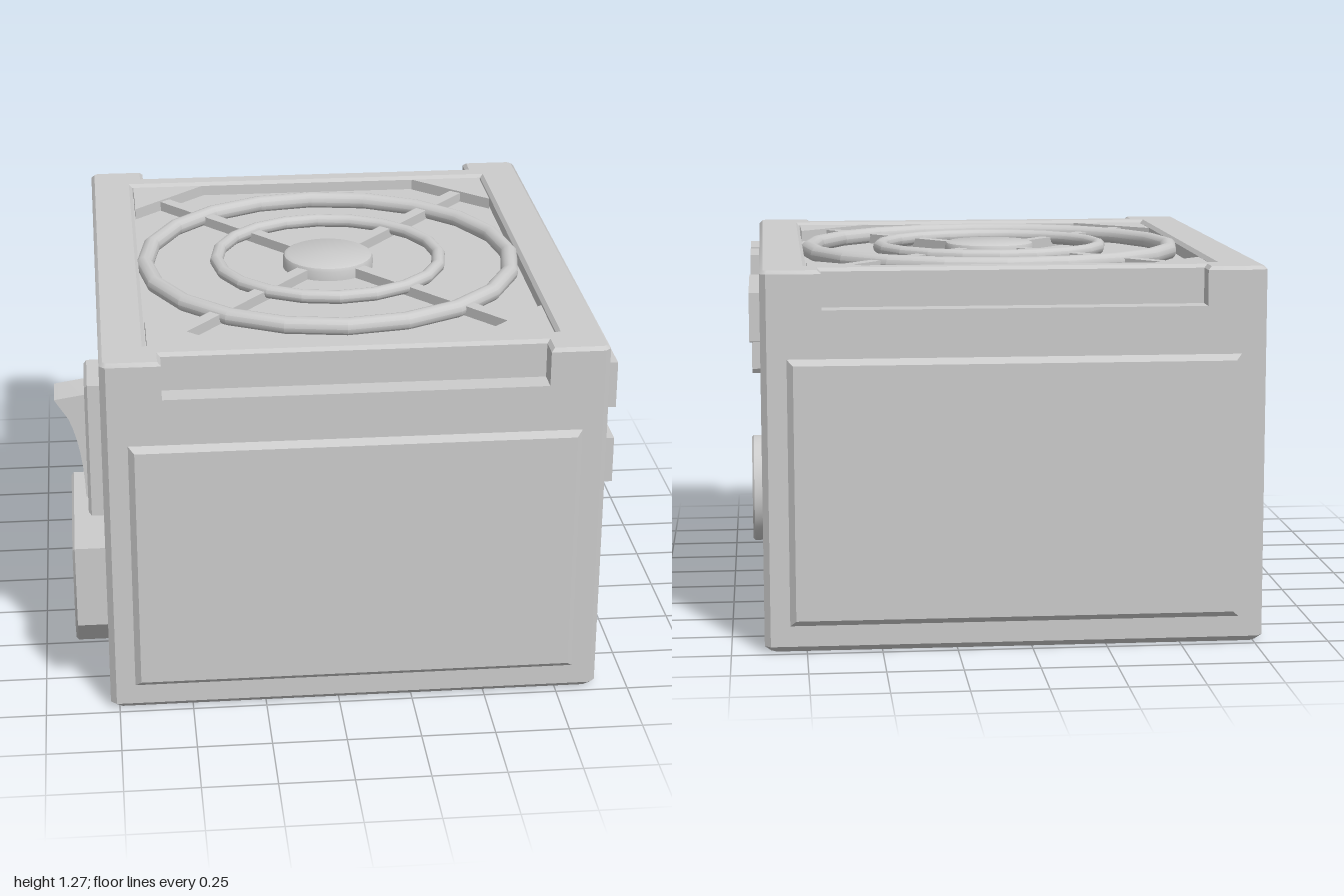
import * as THREE from 'three';
import { toCreasedNormals } from 'three/addons/utils/BufferGeometryUtils.js';

const CX = 0.055; // centre of the case in x
const HX = 0.835, HZ = 0.98;

const poly = (pts, Type = THREE.Shape) => new Type(pts.map(([x, y]) => new THREE.Vector2(x, y)));
const rect = (x0, y0, x1, y1) => [[x0, y0], [x1, y0], [x1, y1], [x0, y1]];

function extrude(outline, hole, depth, bevel = 0) {
  const shape = poly(outline);
  if (hole) shape.holes.push(poly(hole, THREE.Path));
  return new THREE.ExtrudeGeometry(shape, {
    depth, bevelEnabled: bevel > 0, bevelSize: bevel, bevelThickness: bevel, bevelOffset: -bevel, bevelSegments: 1,
  });
}

export function createModel() {
  const group = new THREE.Group();
  const material = new THREE.MeshStandardMaterial({ color: 0xcccccc });

  const add = (name, geometry, x = 0, y = 0, z = 0, parent = group) => {
    const mesh = new THREE.Mesh(toCreasedNormals(geometry, 0.55), material);
    mesh.name = name;
    mesh.position.set(x, y, z);
    parent.add(mesh);
    return mesh;
  };
  const box = (name, w, h, d, x, y, z, parent) => add(name, new THREE.BoxGeometry(w, h, d), x, y, z, parent);

  // Lower case: chamfered plan, bottom edge drawn in
  const c = 0.02;
  const plan = [[-HX + c, -HZ], [HX - c, -HZ], [HX, -HZ + c], [HX, HZ - c],
    [HX - c, HZ], [-HX + c, HZ], [-HX, HZ - c], [-HX, -HZ + c]];
  const lower = new THREE.ExtrudeGeometry(poly(plan), { depth: 1.14, steps: 2, bevelEnabled: false });
  const p = lower.attributes.position;
  for (let i = 0; i < p.count; i++) {
    const z = p.getZ(i);
    if (z < 0.01) p.setXY(i, p.getX(i) * (HX - c) / HX, p.getY(i) * (HZ - c) / HZ);
    else if (z < 1) p.setZ(i, c);
  }
  lower.rotateX(-Math.PI / 2);
  add('lowerCase', lower, CX);

  // Upper case: notched front and back, opening for the fan
  const nx = 0.635, nz = 0.9;
  const notched = [[-HX + c, -HZ], [-nx, -HZ], [-nx, -nz], [nx, -nz], [nx, -HZ], [HX - c, -HZ],
    [HX, -HZ + c], [HX, HZ - c], [HX - c, HZ], [nx, HZ], [nx, nz], [-nx, nz], [-nx, HZ],
    [-HX + c, HZ], [-HX, HZ - c], [-HX, -HZ + c]];
  const b = 0.012;
  const upper = extrude(notched, rect(-0.68, -0.82, 0.68, 0.82), 0.13 - b, b);
  upper.rotateX(-Math.PI / 2);
  add('upperCase', upper, CX, 1.14);
  box('fanRecessFloor', 1.38, 0.1, 1.66, CX, 1.17, 0);

  // Raised panels on front and back
  for (const s of [1, -1]) {
    const panel = new THREE.BoxGeometry(1.52, 0.91, 0.03);
    const v = panel.attributes.position;
    for (let i = 0; i < v.count; i++) {
      if (v.getZ(i) * s > 0) {
        v.setX(i, v.getX(i) * 1.46 / 1.52);
        v.setY(i, v.getY(i) * 0.85 / 0.91);
      }
    }
    add(s > 0 ? 'frontPanel' : 'backPanel', panel, CX, 0.535, s * 0.985);
  }

  // Fan grill: rings, hub, spokes and corner gussets
  const grill = new THREE.Group();
  grill.name = 'fanGrill';
  grill.position.set(CX, 0, 0);
  group.add(grill);
  for (const [name, r, t] of [['outerRing', 0.657, 0.031], ['innerRing', 0.4, 0.024]]) {
    add(name, new THREE.TorusGeometry(r, t, 12, 20).rotateX(Math.PI / 2), 0, 1.275 - t, 0, grill);
  }
  const hub = [[0, 1.21], [0.162, 1.21], [0.162, 1.252], [0.157, 1.264], [0.145, 1.27], [0, 1.27]];
  add('hub', new THREE.LatheGeometry(hub.map(([x, y]) => new THREE.Vector2(x, y)), 32), 0, 0, 0, grill);
  const angle = Math.atan2(0.83, 0.695);
  for (const sx of [1, -1]) {
    for (const sz of [1, -1]) {
      const spoke = box('spoke', 0.74, 0.045, 0.045,
        sx * Math.cos(angle) * 0.5, 1.2325, sz * Math.sin(angle) * 0.5, grill);
      spoke.rotation.y = -sx * sz * angle;
      const x = sx * 0.675, z = sz * 0.815;
      const gusset = extrude([[x, -z], [x - sx * 0.265, -z], [x, -z + sz * 0.255]], null, 0.05);
      add('cornerGusset', gusset.rotateX(-Math.PI / 2), 0, 1.21, 0, grill);
    }
  }

  // Framed sockets with a latch tab on the +x side; z0 > z1
  const connector = (z0, z1, top, tab0, tab1) => {
    const y = top - 0.16, w = 0.015;
    const outline = [[-z0, y], [-tab0, y], [-tab0 + 0.02, y - 0.03], [-tab1 - 0.02, y - 0.03],
      [-tab1, y], [-z1, y], [-z1, top], [-z0, top]];
    const hole = rect(-z0 + w, y + w, -z1 - w, top - w);
    add('cableSocket', extrude(outline, hole, 0.045).rotateY(Math.PI / 2), 0.88);
  };
  for (const top of [1.19, 0.917]) {
    connector(0.92, 0.67, top, 0.847, 0.742);
    connector(0.61, 0.358, top, 0.535, 0.43);
  }
  connector(-0.332, -0.898, 1.19, -0.518, -0.712);

  // Round cable outlet
  const outlet = [[0.155, 0], [0.18, 0], [0.18, 0.037], [0.174, 0.043], [0.161, 0.043], [0.155, 0.037], [0.155, 0]];
  add('cableOutlet', new THREE.LatheGeometry(outlet.map(([x, y]) => new THREE.Vector2(x, y)), 40)
    .rotateZ(-Math.PI / 2), 0.88, 0.485, -0.595);

  // Rocker switch on the -x side
  const plate = extrude(rect(0.64, 0.68, 0.865, 1.15), null, 0.05, 0.01);
  add('switchPlate', plate.rotateY(-Math.PI / 2), -0.77);
  const rocker = new THREE.Shape();
  rocker.moveTo(-0.8, 1.1);
  rocker.lineTo(-0.835, 1.1);
  rocker.lineTo(-0.93, 1.085);
  rocker.lineTo(-0.885, 1.015);
  rocker.quadraticCurveTo(-0.84, 0.91, -0.836, 0.73);
  rocker.lineTo(-0.8, 0.73);
  add('switchRocker', new THREE.ExtrudeGeometry(rocker, { depth: 0.14, bevelEnabled: false, curveSegments: 6 }),
    0, 0, 0.68);

  // Power inlet: chamfered shroud with three pins
  const inlet = (m, k) => [[0.27 + m, 0.565 - m], [0.27 + m, 0.275 + k], [0.39 + k, 0.155 + m],
    [0.76 - k, 0.155 + m], [0.88 - m, 0.275 + k], [0.88 - m, 0.565 - m]];
  add('inletShroud', extrude(inlet(0, 0), inlet(0.055, 0.022), 0.11, 0.008).rotateY(-Math.PI / 2), -0.772);
  for (const [z, y] of [[0.435, 0.39], [0.575, 0.31], [0.715, 0.39]]) {
    box('inletPin', 0.09, 0.09, 0.05, -0.815, y, z);
  }

  return group;
}
